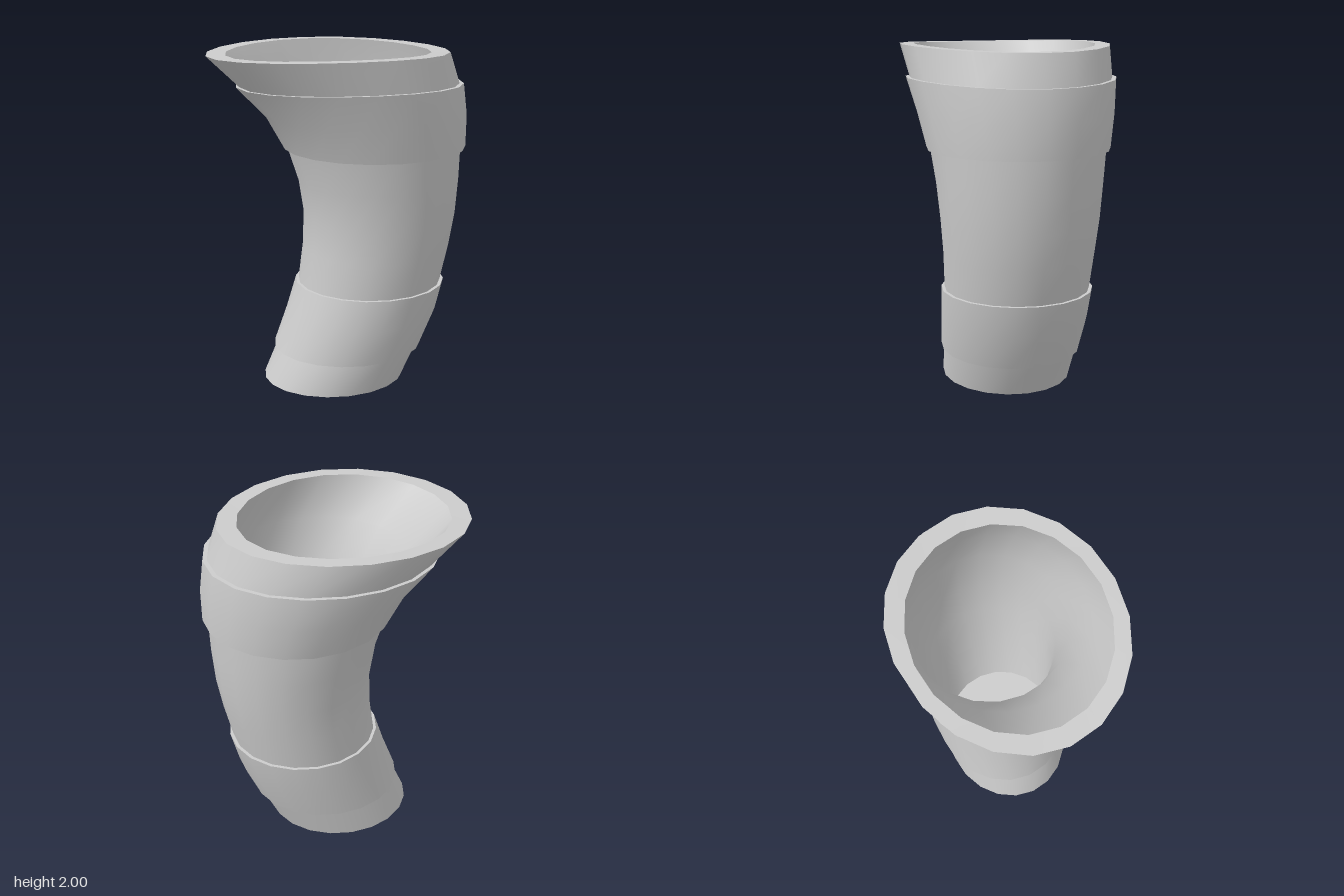
import * as THREE from 'three';

const SIDES = 20;

// Each section is [y, xMin, xMax, zHalf, lift]; lift raises the front and back of the ring.
function loft(name, sections, material) {
  const pos = [], index = [];
  for (const [y, x0, x1, rz, lift = 0] of sections) {
    for (let j = 0; j < SIDES; j++) {
      const t = (j / SIDES) * Math.PI * 2, s = Math.sin(t);
      pos.push((x0 + x1) / 2 + ((x1 - x0) / 2) * Math.cos(t), y + lift * s * s, rz * s);
    }
  }
  for (let i = 0; i < sections.length - 1; i++) {
    for (let j = 0; j < SIDES; j++) {
      const k = (j + 1) % SIDES;
      const a = i * SIDES + j, b = i * SIDES + k;
      const c = a + SIDES, d = b + SIDES;
      index.push(a, c, b, b, c, d);
    }
  }
  const geo = new THREE.BufferGeometry();
  geo.setAttribute('position', new THREE.Float32BufferAttribute(pos, 3));
  geo.setIndex(index);
  geo.computeVertexNormals();
  const mesh = new THREE.Mesh(geo, material);
  mesh.name = name;
  return mesh;
}

export function createModel() {
  const group = new THREE.Group();
  group.name = 'curvedHornCup';
  const material = new THREE.MeshStandardMaterial({ color: 0xcccccc, side: THREE.DoubleSide });
  const add = (name, ...sections) => group.add(loft(name, sections, material));

  // Rings where the surface breaks sharply
  const foot = [0.015, -0.455, 0.40, 0.38];
  const footTop = [0.21, -0.37, 0.49, 0.395];
  const lowBand = [
    [0.21, -0.39, 0.51, 0.41],
    [0.42, -0.312, 0.598, 0.43],
    [0.61, -0.252, 0.645, 0.44],
  ];
  const bodyLow = [0.61, -0.235, 0.625, 0.422];
  const bodyHigh = [1.43, -0.297, 0.725, 0.50];
  const highBand = [
    [1.43, -0.315, 0.755, 0.52],
    [1.62, -0.42, 0.755, 0.557],
    [1.80, -0.59, 0.73, 0.597, 0.02],
  ];
  const neckLow = [1.80, -0.57, 0.705, 0.575, 0.02];
  const lip = [1.98, -0.755, 0.645, 0.60, 0.02];
  const lipInner = [1.98, -0.645, 0.535, 0.52, 0.02];
  const floor = [0.18, -0.285, 0.385, 0.34];

  // Outside, from the base up
  add('base', [0, -0.027, -0.027, 0], foot);
  add('foot', foot, footTop);
  add('lowerBandUnderside', footTop, lowBand[0]);
  add('lowerBand', ...lowBand);
  add('lowerBandTop', lowBand[2], bodyLow);
  add('body', bodyLow,
    [0.82, -0.207, 0.672, 0.436],
    [1.02, -0.20, 0.705, 0.455],
    [1.23, -0.232, 0.72, 0.475],
    bodyHigh);
  add('upperBandUnderside', bodyHigh, highBand[0]);
  add('upperBand', ...highBand);
  add('upperBandTop', highBand[2], neckLow);
  add('mouth', neckLow, lip);
  add('rim', lip, lipInner);

  // Inside, from the rim down to the floor
  add('innerWall', lipInner,
    [1.75, -0.43, 0.60, 0.50],
    [1.43, -0.25, 0.65, 0.45],
    [1.05, -0.16, 0.64, 0.41],
    [0.80, -0.165, 0.59, 0.39],
    [0.45, -0.22, 0.50, 0.36],
    floor);
  add('innerFloor', floor, [0.18, 0.05, 0.05, 0]);
  return group;
}
